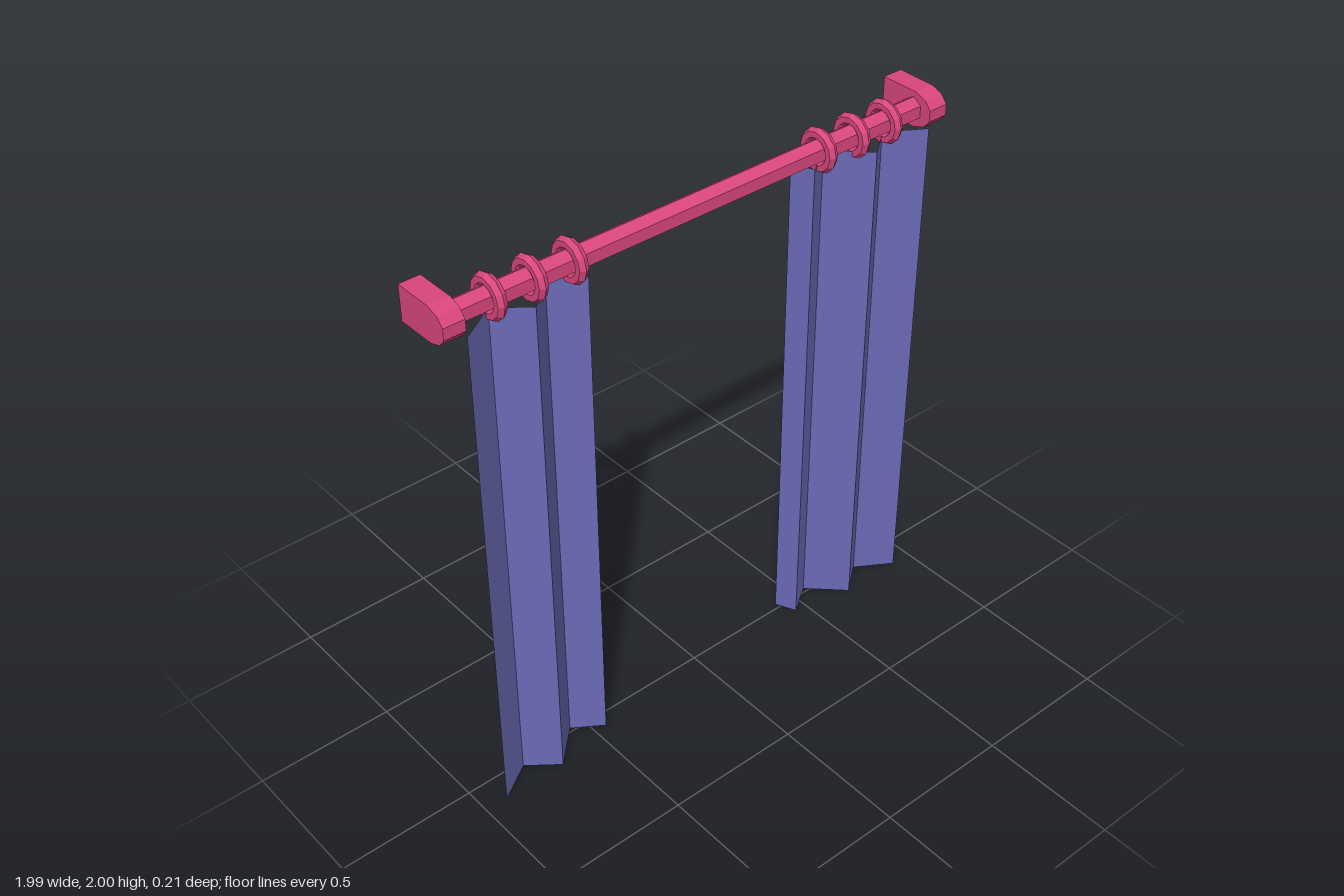
import * as THREE from 'three';

const ROD_Y = 1.922, ROD_Z = 0.026;

export function createModel() {
  const group = new THREE.Group();
  const rodPaint = new THREE.MeshStandardMaterial({ color: 0xd8467c, flatShading: true });
  rodPaint.name = 'pink paint';
  const cloth = new THREE.MeshStandardMaterial({ color: 0x6a6ab6, flatShading: true, side: THREE.DoubleSide });
  cloth.name = 'blue cloth';

  const add = (name, geometry, material, x = 0, y = 0, z = 0) => {
    const mesh = new THREE.Mesh(geometry, material);
    mesh.name = name;
    mesh.position.set(x, y, z);
    group.add(mesh);
    return mesh;
  };

  // Six-sided rod with an edge on top
  const rod = new THREE.CylinderGeometry(0.043, 0.043, 1.86, 6);
  rod.rotateZ(Math.PI / 2);
  rod.rotateX(Math.PI / 2);
  rod.computeBoundingBox();
  const size = rod.boundingBox.getSize(new THREE.Vector3());
  if (size.y < size.z) rod.rotateX(Math.PI / 2);
  rod.scale(1, 1, 0.9);
  add('rod', rod, rodPaint, 0, ROD_Y, ROD_Z);

  // Wall bracket: square block at the back, faceted round cap at the front
  const profile = [
    [-0.11, -0.0625], [0.035, -0.0625], [0.078, -0.048], [0.102, -0.02],
    [0.102, 0.02], [0.078, 0.048], [0.035, 0.0625], [-0.11, 0.0625],
  ].map(([z, y]) => new THREE.Vector2(-z, y)).reverse();
  const bracket = new THREE.ExtrudeGeometry(new THREE.Shape(profile), { depth: 0.076, bevelEnabled: false });
  bracket.translate(0, 0, -0.038);
  bracket.rotateY(Math.PI / 2);

  // Ring around the rod
  const ring = new THREE.TorusGeometry(0.058, 0.02, 6, 12);
  ring.rotateY(Math.PI / 2);

  // Pleat line of one curtain, as distance from the middle and depth
  const pleats = [[0.918, 0.103], [0.787, 0.02], [0.68, 0.104], [0.558, -0.016], [0.453, 0.055], [0.418, -0.02]];
  const curtain = (side) => {
    const g = new THREE.PlaneGeometry(1, 1.88, pleats.length - 1, 1);
    const p = g.attributes.position;
    for (let i = 0; i < p.count; i++) {
      const k = i % pleats.length;
      const [x, z] = pleats[side < 0 ? k : pleats.length - 1 - k];
      p.setXYZ(i, side * x, p.getY(i) + 0.94, z);
    }
    g.computeVertexNormals();
    return g;
  };

  for (const side of [-1, 1]) {
    const label = side > 0 ? 'left' : 'right';
    add(label + 'Bracket', bracket, rodPaint, side * 0.956, ROD_Y, 0);
    [0.785, 0.641, 0.496].forEach((x, i) =>
      add(label + 'Ring' + (i + 1), ring, rodPaint, side * x, ROD_Y, ROD_Z));
    add(label + 'Curtain', curtain(side), cloth);
  }
  return group;
}
